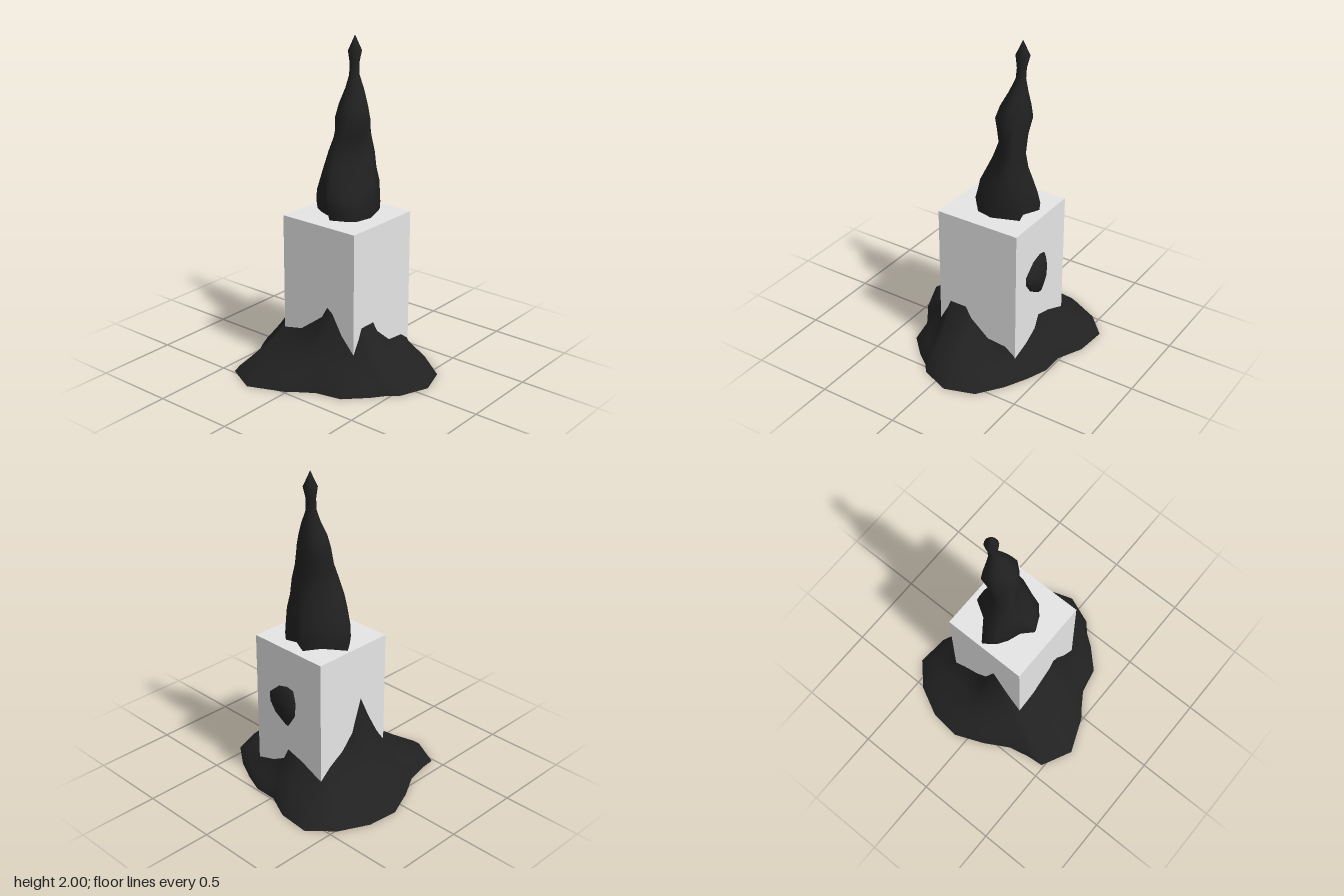
import * as THREE from 'three';

const rock = new THREE.MeshStandardMaterial({ color: 0x212121, side: THREE.DoubleSide });
rock.name = 'dark rock';
const stone = new THREE.MeshStandardMaterial({ color: 0xe5e5e5 });
stone.name = 'pale stone';

const { lerp } = THREE.MathUtils;

// Smooth surface through a stack of closed rings of [x, y, z] points
function loft(rings) {
  const n = rings[0].length, index = [];
  for (let i = 0; i < rings.length - 1; i++) {
    for (let j = 0; j < n; j++) {
      const a = i * n + j, b = i * n + (j + 1) % n;
      index.push(a, a + n, b, b, a + n, b + n);
    }
  }
  const geo = new THREE.BufferGeometry();
  geo.setAttribute('position', new THREE.Float32BufferAttribute(rings.flat(2), 3));
  geo.setIndex(index);
  geo.computeVertexNormals();
  return geo;
}

// Flared skirt, from +x towards +z: foot x, foot z, wall x, wall z, height at the wall
const SKIRT = [
  [0.49, -0.01, 0.35, 0, 0.28], [0.49, 0.06, 0.35, 0.04, 0.2], [0.49, 0.13, 0.35, 0.13, 0.15],
  [0.44, 0.26, 0.35, 0.26, 0.11], [0.37, 0.4, 0.28, 0.26, 0.17], [0.26, 0.55, 0.16, 0.26, 0.18],
  [0.17, 0.58, 0.1, 0.26, 0.23], [0.08, 0.61, 0.04, 0.26, 0.28], [-0.01, 0.575, 0, 0.26, 0.35],
  [-0.1, 0.54, -0.11, 0.26, 0.35], [-0.15, 0.48, -0.13, 0.26, 0.3], [-0.23, 0.42, -0.185, 0.26, 0.2],
  [-0.35, 0.3, -0.185, 0.17, 0.3], [-0.385, 0.14, -0.185, 0.1, 0.42], [-0.465, 0.02, -0.185, 0.06, 0.45],
  [-0.49, -0.01, -0.185, 0.02, 0.38], [-0.58, -0.23, -0.185, -0.14, 0.26],
  [-0.485, -0.42, -0.185, -0.275, 0.23], [-0.38, -0.43, -0.12, -0.275, 0.33],
  [-0.25, -0.46, -0.05, -0.275, 0.46], [-0.1, -0.545, 0.02, -0.275, 0.61],
  [0.08, -0.62, 0.09, -0.275, 0.4], [0.27, -0.6, 0.17, -0.275, 0.31],
  [0.45, -0.51, 0.27, -0.275, 0.25], [0.58, -0.37, 0.35, -0.275, 0.18], [0.565, -0.17, 0.35, -0.11, 0.25],
];

function skirtRings() {
  return [0, 0.1, 0.25, 0.4, 0.55, 0.7, 0.8, 0.88, 0.95, 1, 1.1].map(t =>
    SKIRT.map(([fx, fz, wx, wz, h]) => {
      const lin = 0.95 - 0.65 * h;
      const lip = t < 1 ? 0.015 * Math.sin(Math.PI * Math.sqrt(t)) : 0;
      return [lerp(fx, wx, t), h * (lin * t + (1 - lin) * t ** 4) + lip, lerp(fz, wz, t)];
    }));
}

// Spire outlines in a -1..1 square, from the lobed foot up to the round neck
const OUTLINES = [
  [[0.74, 0.37], [0.85, 0.71], [0, 1], [-0.54, 0.9], [-0.8, 0.61], [-1, 0.22],
    [-0.69, -0.07], [-0.54, -0.46], [-0.33, -0.76], [0.03, -1], [0.49, -0.41], [1, -0.12]],
  [[1, 0.35], [0.85, 0.85], [0.45, 1], [-0.1, 0.4], [-0.5, 0], [-0.85, -0.4],
    [-1, -0.65], [-0.8, -0.9], [-0.4, -1], [0.15, -0.95], [0.65, -0.6], [1, -0.15]],
  [[1, 0.3], [0.7, 0.62], [0.3, 0.95], [-0.1, 1], [-0.6, 0.65], [-1, 0.3],
    [-1, -0.1], [-0.95, -0.45], [-0.36, -0.97], [0.2, -1], [0.84, -0.87], [1, -0.3]],
  Array.from({ length: 12 }, (_, j) => [Math.cos((j + 0.5) * Math.PI / 6), Math.sin((j + 0.5) * Math.PI / 6)]),
];
// y, x min, x max, z min, z max, position along the outlines
const SPIRE = [
  [0.9, -0.07, 0.29, -0.25, 0.15, 0], [1.0, -0.09, 0.3, -0.26, 0.155, 0],
  [1.07, -0.085, 0.285, -0.245, 0.155, 0.15], [1.15, -0.055, 0.265, -0.21, 0.15, 0.4],
  [1.23, -0.025, 0.24, -0.165, 0.13, 0.7], [1.33, 0.01, 0.23, -0.12, 0.11, 1],
  [1.42, 0.035, 0.23, -0.115, 0.1, 1.5], [1.52, 0.05, 0.235, -0.125, 0.1, 2],
  [1.6, 0.075, 0.232, -0.11, 0.075, 2.2], [1.69, 0.12, 0.222, -0.085, 0.035, 2.6],
  [1.77, 0.152, 0.21, -0.068, -0.005, 3], [1.84, 0.157, 0.213, -0.068, -0.01, 3],
  [1.91, 0.148, 0.232, -0.08, 0, 3], [2, 0.189, 0.191, -0.041, -0.039, 3],
];

function spireRings() {
  return SPIRE.map(([y, x0, x1, z0, z1, s]) => {
    const i = Math.min(Math.floor(s), 2);
    return OUTLINES[i].map(([x, z], j) => {
      const [nx, nz] = OUTLINES[i + 1][j];
      return [
        (x0 + x1) / 2 + lerp(x, nx, s - i) * (x1 - x0) / 2, y,
        (z0 + z1) / 2 + lerp(z, nz, s - i) * (z1 - z0) / 2,
      ];
    });
  });
}

// Lump breaking through the side wall: outline as [z, y], shrinking to a peak
const LUMP = [[0, 0.71], [-0.05, 0.7], [-0.07, 0.62], [-0.06, 0.53], [0, 0.44],
  [0.1, 0.5], [0.15, 0.57], [0.15, 0.62], [0.07, 0.69]];

function lumpRings() {
  return [[0.335, 1.02], [0.35, 1], [0.37, 0.82], [0.383, 0.55], [0.391, 0.25], [0.393, 0.01]].map(
    ([x, k]) => LUMP.map(([z, y]) => [x, 0.585 + (y - 0.585) * k, 0.015 + (z - 0.015) * k]));
}

export function createModel() {
  const model = new THREE.Group();
  model.name = 'rockSpire';
  const add = (name, geo, mat) => {
    const mesh = new THREE.Mesh(geo, mat);
    mesh.name = name;
    model.add(mesh);
    return mesh;
  };

  add('block', new THREE.BoxGeometry(0.535, 0.953, 0.535), stone).position.set(0.083, 0.4765, -0.008);
  add('rockSkirt', loft(skirtRings()), rock);
  add('rockSpireTop', loft(spireRings()), rock);
  add('sideLump', loft(lumpRings()), rock);
  return model;
}
